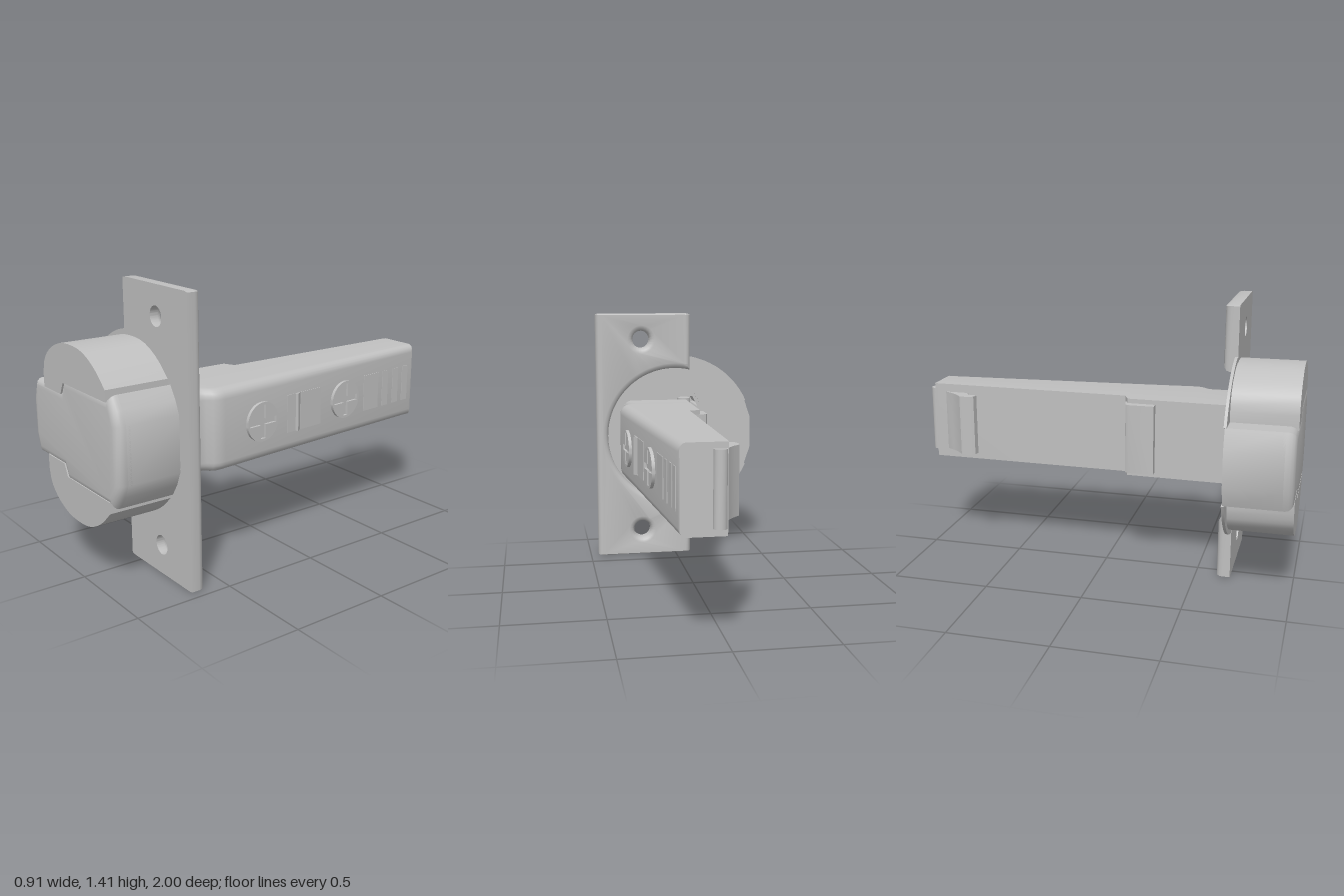
import * as THREE from 'three';
import { toCreasedNormals } from 'three/addons/utils/BufferGeometryUtils.js';

const MID = 0.708; // height of the horizontal mirror plane

export function createModel() {
  const root = new THREE.Group();
  root.name = 'cabinetHinge';
  const steel = new THREE.MeshStandardMaterial({ color: 0xc0c0c0 });
  steel.name = 'nickel grey';

  const add = (name, geo, parent = root, crease = 0.6) => {
    const mesh = new THREE.Mesh(toCreasedNormals(geo, crease), steel);
    mesh.name = name;
    parent.add(mesh);
    return mesh;
  };
  const poly = (pts) => new THREE.Shape(pts.map(([x, y]) => new THREE.Vector2(x, y)));
  // mirrors an upper half outline about MID to close it
  const mirrored = (pts) => poly([...pts, ...pts.map(([x, y]) => [x, 2 * MID - y]).reverse()]);
  const extrude = (shape, z0, z1) =>
    new THREE.ExtrudeGeometry(shape, { depth: z1 - z0, bevelEnabled: false, curveSegments: 32 }).translate(0, 0, z0);
  // extrusion rounded at both ends, inside the given outline
  const rounded = (shape, z0, z1, b, segs = 3) =>
    new THREE.ExtrudeGeometry(shape, {
      depth: z1 - z0 - 2 * b, bevelSize: b, bevelThickness: b, bevelOffset: -b, bevelSegments: segs, curveSegments: 32,
    }).translate(0, 0, z0 + b);
  const editVertices = (geo, rule) => {
    const p = geo.attributes.position, v = new THREE.Vector3();
    for (let i = 0; i < p.count; i++) {
      rule(v.fromBufferAttribute(p, i));
      p.setXYZ(i, v.x, v.y, v.z);
    }
    return geo;
  };
  // outline in x and z, extruded upwards
  const upright = (pts, y0, y1) =>
    new THREE.ExtrudeGeometry(poly(pts), { depth: y1 - y0, bevelEnabled: false }).rotateX(Math.PI / 2).translate(0, y1, 0);

  // Mounting plate: C-shaped, rounded towards the back, countersunk holes
  const plate = new THREE.Shape();
  const biteR = 0.39, L = -0.09, R = 0.455, T = 1.412, c = 0.02;
  const biteY = Math.sqrt(biteR ** 2 - L ** 2), biteA = Math.atan2(biteY, L);
  plate.moveTo(L, c).lineTo(L + c, 0).lineTo(R - c, 0).lineTo(R, c).lineTo(R, T - c)
    .lineTo(R - c, T).lineTo(L + c, T).lineTo(L, T - c).lineTo(L, MID + biteY);
  plate.absarc(0, MID, biteR, biteA, -biteA, true);
  for (const y of [0.15, 1.265]) {
    const hole = new THREE.Path();
    hole.absarc(0.195, y, 0.049, 0, Math.PI * 2, true);
    plate.holes.push(hole);
  }
  add('mountingPlate', editVertices(rounded(plate, 0.61, 0.71, 0.03), (v) => {
    v.z = Math.min(v.z, 0.68);
    if (v.y > T - 0.04) v.y = T - (T - v.y) * 0.25; // tighter rounding at the ends
    if (v.y < 0.04) v.y *= 0.25;
  }));

  // Thin round flange around the pocket
  const flange = new THREE.Shape();
  const a0 = Math.PI - 0.43;
  flange.absarc(-0.01, MID, 0.462, a0, -a0, true);
  for (const [x, y] of [[-0.42, 0.52], [-0.15, 0.52], [-0.12, 0.47], [0.3, 0.47],
    [0.3, 0.946], [-0.12, 0.946], [-0.15, 0.896], [-0.42, 0.896]]) flange.lineTo(x, y);
  add('cupFlange', extrude(flange, 0.665, 0.679));

  // Upper and lower round lobes of the cup
  const arc = new THREE.CatmullRomCurve3([[-0.32, 0.95], [-0.3, 1.02], [-0.24, 1.08], [-0.14, 1.125], [-0.03, 1.138],
    [0.09, 1.125], [0.2, 1.07], [0.285, 0.995]].map(([x, y]) => new THREE.Vector3(x, y, 0)))
    .getPoints(18).map((p) => [p.x, p.y]);
  const lobe = [[-0.32, 0.88], ...arc, [0.285, 0.94], [-0.12, 0.94], [-0.15, 0.88]];
  add('upperCupLobe', extrude(poly(lobe), 0.67, 0.999));
  add('lowerCupLobe', extrude(poly(lobe.map(([x, y]) => [x, 2 * MID - y])), 0.67, 0.999));

  // Cup body: hollow walls and a rounded front
  const bodyHalf = [[-0.458, 0.8], [-0.425, 0.898], [-0.155, 0.898], [-0.125, 0.96], [0.283, 0.96],
    [0.305, 0.972], [0.345, 0.91], [0.372, 0.845]];
  const walls = mirrored(bodyHalf);
  walls.holes.push(mirrored([[-0.36, 0.82], [-0.32, 0.87], [-0.14, 0.87], [-0.11, 0.93], [0.29, 0.93], [0.335, 0.84]]));
  add('cupWalls', extrude(walls, 0.67, 0.95));
  add('cupFront', editVertices(rounded(mirrored(bodyHalf), 0.88, 1, 0.04, 4), (v) => { v.z = Math.max(v.z, 0.93); }));

  // Link and pivot pin inside the cup
  add('innerLink', new THREE.BoxGeometry(0.27, 0.3, 0.34).translate(0.13, MID, 0.77));
  add('pivotPin', new THREE.CylinderGeometry(0.04, 0.04, 0.4, 20).translate(-0.08, MID, 0.8));

  // Arm: cross-sections along z, rounded on the outer side [z, inner x, outer x, radius]
  const stations = [[-0.965, 0.015, 0.225, 0.03], [-0.95, 0.012, 0.231, 0.04], [0.1, 0, 0.314, 0.05],
    [0.125, -0.058, 0.316, 0.05], [0.4, -0.062, 0.338, 0.05], [0.435, -0.063, 0.337, 0.05], [0.46, -0.063, 0.325, 0.05],
    [0.485, -0.064, 0.302, 0.05], [0.515, -0.064, 0.294, 0.05], [0.64, -0.066, 0.3, 0.05]];
  const y0 = 0.505, y1 = 0.913, N = 5;
  const loops = stations.map(([z, xl, xr, r]) => {
    const pts = [[xl, y0, z]];
    for (const [cy, start] of [[y0 + r, -Math.PI / 2], [y1 - r, 0]])
      for (let i = 0; i <= N; i++) {
        const a = start + (i / N) * Math.PI / 2;
        pts.push([xr - r + r * Math.cos(a), cy + r * Math.sin(a), z]);
      }
    pts.push([xl, y1, z]);
    return pts;
  });
  const tris = [], n = loops[0].length;
  for (let s = 0; s < loops.length - 1; s++)
    for (let j = 0; j < n; j++) {
      const k = (j + 1) % n, A = loops[s], B = loops[s + 1];
      tris.push(A[j], A[k], B[k], A[j], B[k], B[j]);
    }
  const first = loops[0], last = loops[loops.length - 1];
  for (let j = 1; j < n - 1; j++) tris.push(first[0], first[j + 1], first[j], last[0], last[j], last[j + 1]);
  const armGeo = new THREE.BufferGeometry();
  armGeo.setAttribute('position', new THREE.Float32BufferAttribute(tris.flat(), 3));
  add('arm', armGeo);

  // Clip, hook and end tab on the inner side
  add('innerClip', upright([[0.02, 0.1], [-0.06, 0.115], [-0.09, 0.122], [-0.1, 0.14], [-0.1, 0.27], [-0.02, 0.27]], 0.53, 0.89));
  add('releaseHook', upright([[0.03, -0.92], [0.01, -0.9], [-0.01, -0.86], [-0.04, -0.82], [-0.07, -0.79], [-0.075, -0.75],
    [-0.06, -0.715], [-0.03, -0.71], [-0.025, -0.75], [-0.01, -0.77], [0.03, -0.77]], 0.55, 0.87));
  add('endTab', new THREE.BoxGeometry(0.06, 0.344, 0.06).translate(0.05, 0.712, -0.94));
  add('endTabRoll', new THREE.CylinderGeometry(0.031, 0.031, 0.344, 16).translate(0.05, 0.712, -0.967));

  // Details on the sloping outer face; local x runs to the back, local z outwards
  const face = new THREE.Group();
  face.name = 'armFaceDetails';
  face.position.set(0.306, MID, 0);
  face.rotation.y = Math.PI / 2 + 0.079;
  root.add(face);
  const disc = (r) => {
    const s = new THREE.Shape();
    s.absarc(0, 0, r, 0, Math.PI * 2);
    return s;
  };
  const w = 0.015, l = 0.085;
  const cross = [[w, w], [w, l], [-w, l], [-w, w], [-l, w], [-l, -w], [-w, -w], [-w, -l], [w, -l], [w, -w], [l, -w], [l, w]];
  for (const x of [-0.175, 0.41]) {
    const screw = new THREE.Group();
    screw.name = 'adjustingScrew';
    screw.position.x = x;
    face.add(screw);
    const head = disc(0.099);
    head.holes.push(poly(cross));
    add('screwHead', extrude(head, -0.01, 0.016), screw);
    add('screwCore', extrude(disc(0.095), -0.01, 0.003), screw);
  }
  // Flat panels and grip ribs [start, end]
  for (const [a, b] of [[0, 0.06], [0.093, 0.235], [0.565, 0.68], [0.715, 0.76], [0.8, 0.845], [0.88, 0.925]])
    add('facePanel', new THREE.BoxGeometry(b - a, 0.195, 0.006).translate((a + b) / 2, 0, 0), face);
  add('panelRamp', extrude(poly([[0.055, -0.002], [0.093, -0.002], [0.06, 0.018]]), -0.0975, 0.0975).rotateX(Math.PI / 2), face);
  // Scale marks on the neck
  for (let i = 0; i < 7; i++)
    add('scaleMark', new THREE.BoxGeometry(0.004, 0.006, i % 3 ? 0.03 : 0.05).translate(0.298, MID + (i - 3) * 0.035, 0.58));

  return root;
}
